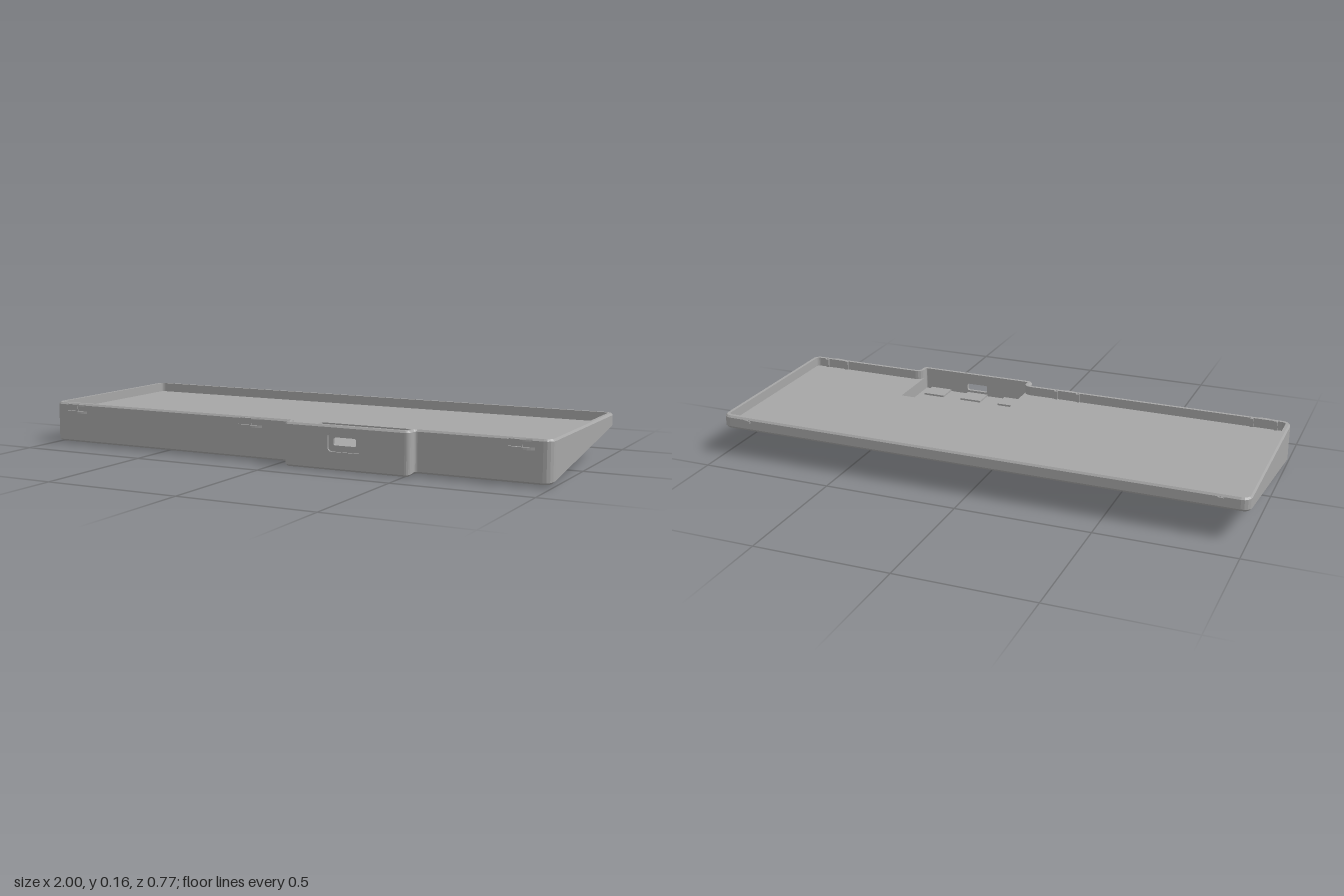
import * as THREE from 'three';

const TOP = 0.16, FLOOR = 0.125, POCKET = 0.075, WALL = 0.018;
const bottomY = z => 0.003 + 0.142 * (0.377 - z);

// Rounds the right-angled corners [u, v, radius] of a closed outline
function roundCorners(corners, steps = 4) {
  const out = [];
  corners.forEach(([u, v, r], i) => {
    const a = corners.at(i - 1), b = corners[(i + 1) % corners.length];
    const inU = Math.sign(u - a[0]), inV = Math.sign(v - a[1]);
    const outU = Math.sign(b[0] - u), outV = Math.sign(b[1] - v);
    for (let k = 0; k <= steps; k++) {
      const t = (k / steps) * Math.PI / 2, c = 1 - Math.cos(t), s = Math.sin(t) - 1;
      out.push([u + r * (outU * c + inU * s), v + r * (outV * c + inV * s)]);
    }
  });
  return out;
}

// Case outline, seen from above, moved inwards by d
function outline(d) {
  const big = 0.032 - d, small = Math.max(0.018 - d, 0.004), fillet = 0.01 + d;
  const x = 1 - d, back = -0.38 + d, front = 0.338 - d, nose = 0.385 - d;
  return roundCorners([
    [-x, back, big], [x, back, big], [x, front, big],
    [0.52 - d, front, fillet], [0.52 - d, nose, small],
    [0.04 + d, nose, small], [0.04 + d, front, fillet], [-x, front, big],
  ]);
}

const ring = (pts, y) => pts.map(([x, z]) =>
  new THREE.Vector3(x, typeof y === 'function' ? y(z) : y, z));
const upright = (pts, z) => pts.map(([x, y]) => new THREE.Vector3(x, y, z));

// Skin between two closed rings, leaving out one edge if asked
function loft(tris, a, b, skip = -1) {
  a.forEach((p, i) => {
    if (i === skip) return;
    const j = (i + 1) % a.length;
    tris.push(p, b[i], b[j], p, b[j], a[j]);
  });
}

// Flat face with holes, turned towards the given direction
function face(tris, contour, holes, dir) {
  const flat = r => r.map(p => new THREE.Vector2(p.x, Math.abs(dir.y) > 0.5 ? p.z : p.y));
  const all = [contour, ...holes].flat();
  for (const t of THREE.ShapeUtils.triangulateShape(flat(contour), holes.map(flat))) {
    const [a, b, c] = t.map(i => all[i]);
    const n = b.clone().sub(a).cross(c.clone().sub(a));
    if (n.dot(dir) > 0) tris.push(a, b, c);
    else tris.push(a, c, b);
  }
}

export function createModel() {
  const model = new THREE.Group();
  model.name = 'keyboardCase';
  const grey = new THREE.MeshStandardMaterial({ color: 0xa6a6a6 });
  grey.name = 'caseGrey';
  const UP = new THREE.Vector3(0, 1, 0), DOWN = new THREE.Vector3(0, -1, 0);
  const FRONT = new THREE.Vector3(0, 0, 1), BACK = new THREE.Vector3(0, 0, -1);

  function add(name, geometry, x = 0, y = 0, z = 0) {
    const mesh = new THREE.Mesh(geometry, grey);
    mesh.name = name;
    mesh.position.set(x, y, z);
    model.add(mesh);
  }
  function addTris(name, build) {
    const tris = [];
    build(tris);
    const g = new THREE.BufferGeometry().setFromPoints(tris);
    g.computeVertexNormals();
    add(name, g);
  }

  const outer = outline(0), inner = outline(WALL);
  const noseEdge = 24; // front edge of the port housing, closed by its own panel

  // Wedge walls: bevelled foot, sides, bevelled rim, inside wall
  addTris('wedgeWalls', t => {
    const rings = [
      ring(outline(0.008), bottomY),
      ring(outer, z => bottomY(z) + 0.008),
      ring(outer, TOP - 0.007),
      ring(outline(0.006), TOP),
      ring(inner, TOP),
      ring(inner, FLOOR),
    ];
    for (let i = 0; i < 5; i++) loft(t, rings[i], rings[i + 1], i === 1 ? noseEdge : -1);
  });
  addTris('slopedUnderside', t => face(t, ring(outline(0.008), bottomY), [], DOWN));

  // Tray floor, notched around the electronics pocket
  const xl = 0.04 + WALL, xr = 0.52 - WALL, pocketBack = 0.13;
  const floor = [...inner.slice(0, 20), [xr, pocketBack], [xl, pocketBack], ...inner.slice(30)];
  addTris('trayFloor', t => face(t, ring(floor, FLOOR), [], UP));

  const pocket = [[xl, pocketBack], [xr, pocketBack], ...inner.slice(20, 30)];
  addTris('electronicsPocket', t => {
    loft(t, ring(pocket, FLOOR), ring(pocket, POCKET), 6);
    face(t, ring(pocket, POCKET), [], UP);
  });
  for (const x of [0.115, 0.275, 0.435])
    add('pocketPad', new THREE.BoxGeometry(0.086, 0.008, 0.076), x, POCKET + 0.003, 0.328);

  // Port housing: outer panel, shallow recess and slot through the wall
  const rect = (x0, x1, y0, y1, r) => r
    ? roundCorners([[x0, y0, r], [x1, y0, r], [x1, y1, r], [x0, y1, r]])
    : [[x0, y0], [x1, y0], [x1, y1], [x0, y1]];
  addTris('portHousing', t => {
    const zOut = 0.385, zMid = 0.378, zIn = zOut - WALL;
    const recess = rect(0.213, 0.341, 0.068, 0.134, 0.014);
    const slot = rect(0.233, 0.319, 0.09, 0.118, 0.006);
    const outside = rect(outer[25][0], outer[24][0], bottomY(zOut) + 0.008, TOP - 0.007);
    const inside = rect(inner[25][0], inner[24][0], POCKET, FLOOR);
    face(t, upright(outside, zOut), [upright(recess, zOut)], FRONT);
    loft(t, upright(recess, zMid), upright(recess, zOut));
    face(t, upright(recess, zMid), [upright(slot, zMid)], FRONT);
    loft(t, upright(slot, zIn), upright(slot, zMid));
    face(t, upright(inside, zIn), [upright(slot, zIn)], BACK);
  });

  // Snap clips on the front wall: curved lips, a stem and inner ribs
  function lip(width, depth, height) {
    const s = new THREE.Shape();
    s.moveTo(-width / 2, 0);
    s.quadraticCurveTo(0, -depth * 2, width / 2, 0);
    const g = new THREE.ExtrudeGeometry(s, { depth: height, bevelEnabled: false, curveSegments: 8 });
    return g.rotateX(-Math.PI / 2);
  }
  for (const x of [-0.9, -0.125, 0.89]) {
    add('clipLowerLip', lip(0.104, 0.013, 0.009), x, 0.122, 0.337);
    add('clipUpperLip', lip(0.08, 0.01, 0.006), x, 0.15, 0.337);
    add('clipStem', new THREE.BoxGeometry(0.016, 0.026, 0.008), x, 0.141, 0.337);
    for (const side of [-1, 1])
      add('clipRib', new THREE.BoxGeometry(0.014, TOP - FLOOR - 0.002, 0.01),
        x + side * 0.045, (TOP + FLOOR) / 2, 0.318);
  }

  // Locating pegs on the back wall
  for (const x of [-0.9, 0.89])
    add('backPeg', new THREE.BoxGeometry(0.022, 0.01, 0.012), x, 0.147, -0.379);

  return model;
}
